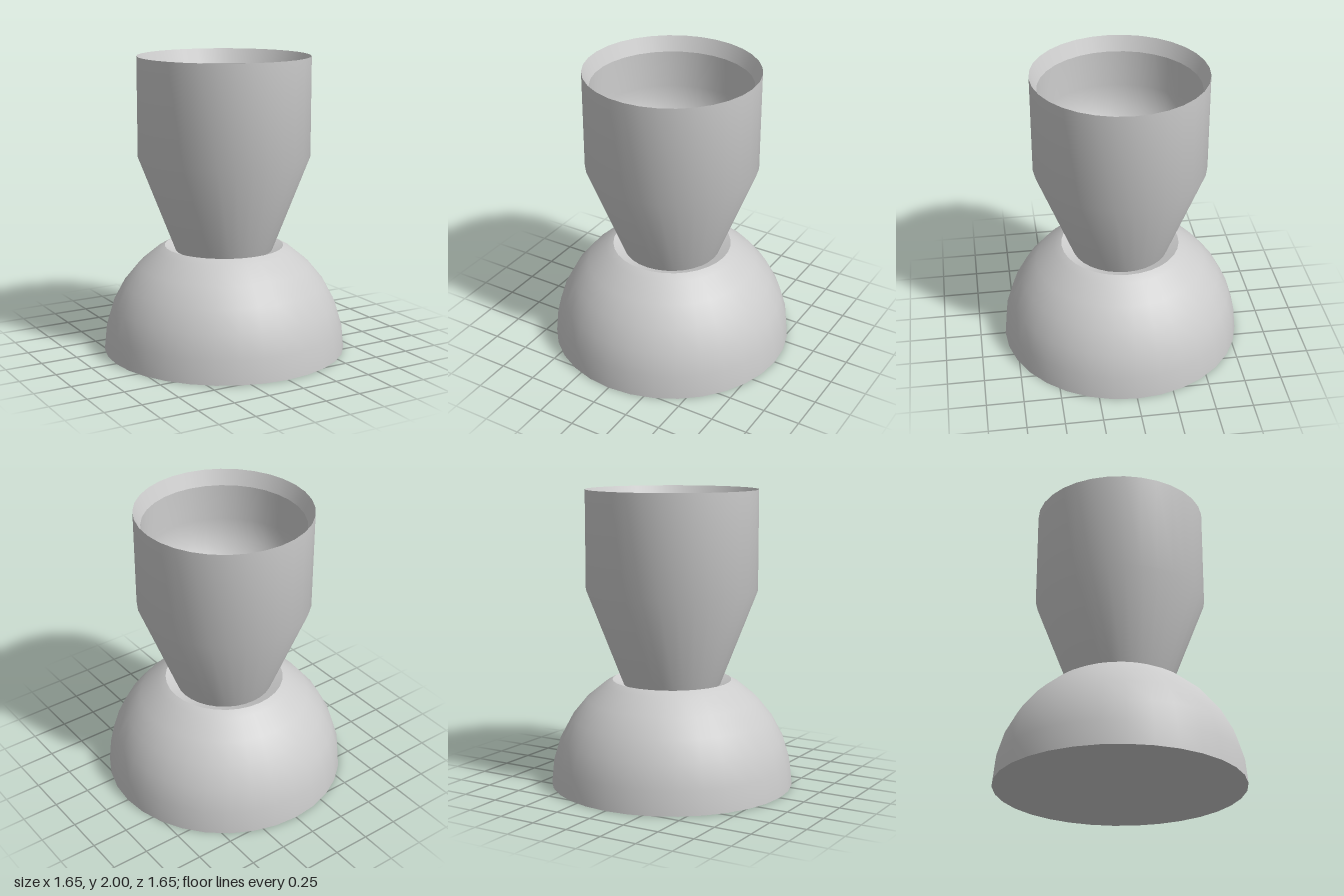
import * as THREE from 'three';

const SIDES = 32;
const material = new THREE.MeshStandardMaterial({ color: 0xcccccc });

// Turned part from [radius, height] pairs, outer walls running upwards
function turned(name, points) {
  const profile = points.map(([r, y]) => new THREE.Vector2(r, y));
  const mesh = new THREE.Mesh(new THREE.LatheGeometry(profile, SIDES), material);
  mesh.name = name;
  return mesh;
}

export function createModel() {
  const group = new THREE.Group();
  group.name = 'eggCup';

  // Domed foot: a faceted hemisphere cut off below its pole
  const R = 0.825;
  const dome = [];
  for (let i = 0; i <= 5; i++) {
    const a = (i * Math.PI) / 16;
    dome.push([R * Math.cos(a), R * Math.sin(a)]);
  }
  dome.push([0.405, 0.715]);
  group.add(turned('footDome', dome));

  // Shallow groove where the foot meets the neck
  group.add(turned('neckGroove', [[0.405, 0.715], [0.33, 0.685]]));

  // Flat underside
  const underside = new THREE.Mesh(new THREE.CircleGeometry(R, SIDES), material);
  underside.rotation.x = Math.PI / 2;
  underside.name = 'underside';
  group.add(underside);

  // Flared neck running into the straight cup wall
  group.add(turned('cupOuterWall', [[0.33, 0.685], [0.58, 1.33], [0.58, 2]]));

  // Lip sloping inwards
  group.add(turned('lip', [[0.58, 2], [0.535, 1.9]]));

  // Rounded bowl inside the cup
  const bowl = [[0.535, 1.9]];
  for (let i = 0; i <= 10; i++) {
    const a = (i / 10) * (Math.PI / 2);
    bowl.push([i === 10 ? 0 : 0.53 * Math.cos(a), 1.65 - 0.5 * Math.sin(a)]);
  }
  group.add(turned('bowl', bowl));

  return group;
}
